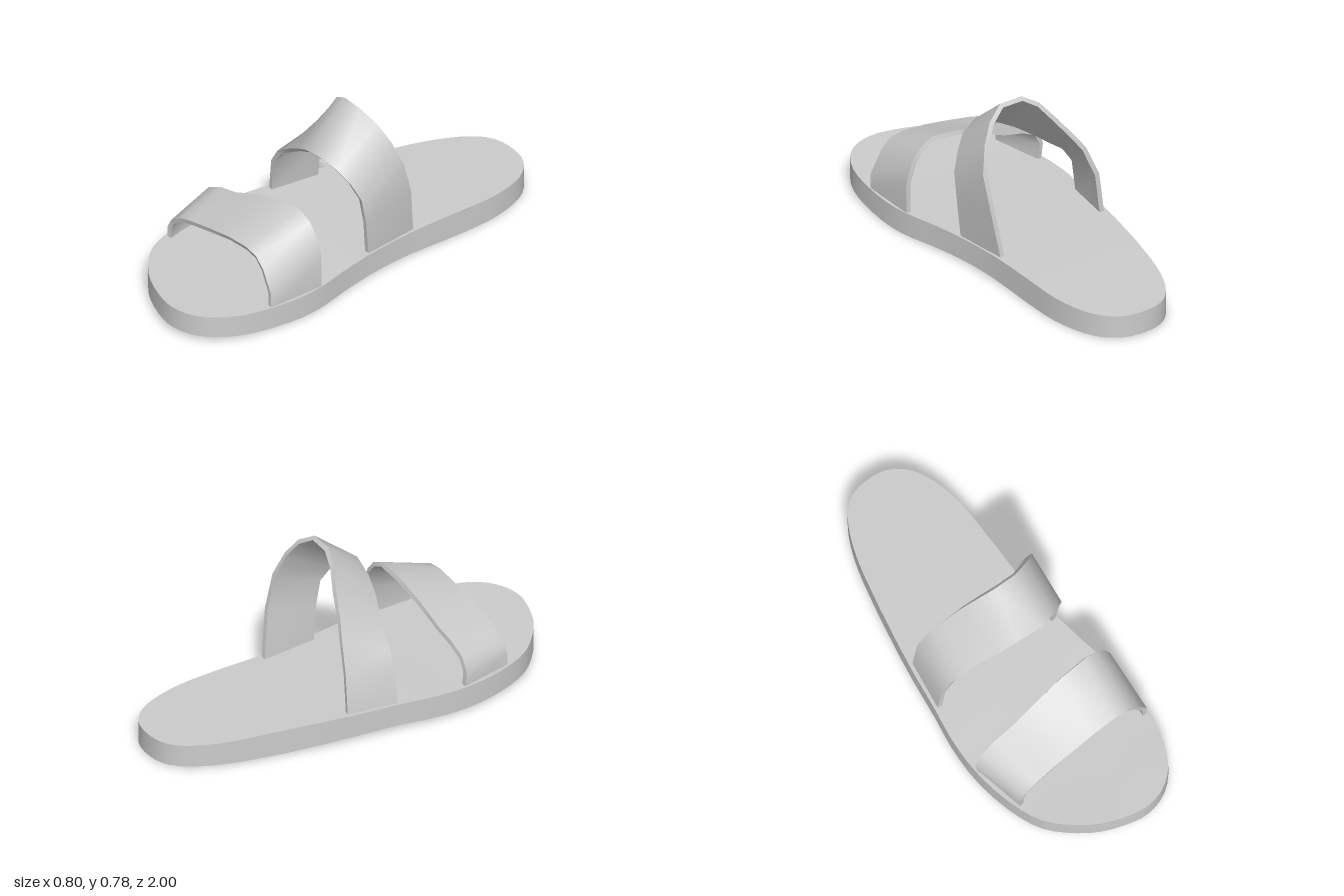
import * as THREE from 'three';
import { toCreasedNormals } from 'three/addons/utils/BufferGeometryUtils.js';

const V = (x, y, z) => new THREE.Vector3(x, y, z);

// Skin a series of closed rings of points, keeping sharp edges sharp
function loft(name, rings, crease) {
  const n = rings[0].length, index = [];
  for (let i = 0; i < rings.length - 1; i++) {
    for (let j = 0; j < n; j++) {
      const k = (j + 1) % n;
      const a = i * n + j, b = a + n, c = i * n + k, d = c + n;
      index.push(a, b, c, b, d, c);
    }
  }
  const geo = new THREE.BufferGeometry().setFromPoints(rings.flat());
  geo.setIndex(index);
  const material = new THREE.MeshStandardMaterial({ color: 0xcccccc, side: THREE.DoubleSide });
  const mesh = new THREE.Mesh(toCreasedNormals(geo, crease), material);
  mesh.name = name;
  return mesh;
}

// Smooth interpolation through [z, y] pairs
function profile(points, z) {
  let i = 0;
  while (i < points.length - 2 && z > points[i + 1][0]) i++;
  const [z0, y0] = points[i], [z1, y1] = points[i + 1];
  return y0 + (y1 - y0) * THREE.MathUtils.smoothstep(z, z0, z1);
}

// Sole: foot outline, gently waved along its length and tilted sideways
function makeSole() {
  const outline = [
    [0.08, -1], [0.2, -0.98], [0.28, -0.91], [0.325, -0.81], [0.35, -0.66], [0.347, -0.48],
    [0.335, -0.2], [0.343, 0], [0.365, 0.2], [0.39, 0.36], [0.395, 0.48], [0.38, 0.64],
    [0.345, 0.8], [0.275, 0.92], [0.19, 0.98], [0.09, 1], [-0.01, 0.98], [-0.13, 0.93],
    [-0.235, 0.85], [-0.32, 0.75], [-0.37, 0.61], [-0.4, 0.4], [-0.39, 0.21], [-0.357, 0.04],
    [-0.312, -0.21], [-0.2, -0.66], [-0.145, -0.81], [-0.08, -0.92], [-0.01, -0.98],
  ].map(([x, z]) => V(x, 0, z));
  const rim = new THREE.CatmullRomCurve3(outline, true).getPoints(72).slice(0, -1);
  const bottom = [[-1, 0.006], [-0.55, 0.005], [0, 0.018], [0.45, 0.006], [1, 0.03]];
  const top = [[-1, 0.115], [-0.35, 0.13], [0, 0.128], [0.5, 0.118], [1, 0.135]];
  const ring = (s, heights) => rim.map((p) => {
    const x = 0.03 + (p.x - 0.03) * s, z = p.z * s;
    return V(x, profile(heights, z) - 0.015 * x, z);
  });
  const scales = [0, 0.2, 0.4, 0.6, 0.8, 1];
  const rings = [
    ...scales.map((s) => ring(s, bottom)),
    ...scales.slice().reverse().map((s) => ring(s, top)),
  ];
  return loft('sole', rings, 0.8);
}

// Strap: a band between a front edge and a rear edge, thickened inwards
function makeStrap(name, front, rear, thickness) {
  const f = front.map((p) => V(...p)), r = rear.map((p) => V(...p));
  const last = f.length - 1;
  const rings = f.map((p, i) => {
    const a = Math.max(i - 1, 0), b = Math.min(i + 1, last);
    const across = r[i].clone().sub(p);
    const inset = (edge) => {
      const tangent = edge[b].clone().sub(edge[a]);
      const normal = tangent.cross(across).normalize();
      return edge[i].clone().addScaledVector(normal, -thickness);
    };
    return [p, r[i], inset(r), inset(f)];
  });
  return loft(name, rings, 1.0);
}

export function createModel() {
  const group = new THREE.Group();
  group.name = 'sandal';
  group.add(makeSole());

  // Low strap over the toes
  group.add(makeStrap('toeStrap',
    [[-0.35, 0.1, 0.64], [-0.348, 0.18, 0.64], [-0.322, 0.228, 0.64], [-0.258, 0.27, 0.64],
      [-0.19, 0.29, 0.64], [-0.05, 0.318, 0.64], [0.07, 0.339, 0.64], [0.19, 0.348, 0.643],
      [0.264, 0.335, 0.645], [0.314, 0.288, 0.645], [0.371, 0.185, 0.648], [0.373, 0.1, 0.648]],
    [[-0.388, 0.1, 0.385], [-0.4, 0.2, 0.385], [-0.365, 0.27, 0.383], [-0.285, 0.31, 0.38],
      [-0.185, 0.333, 0.38], [-0.05, 0.39, 0.375], [0.1, 0.438, 0.37], [0.243, 0.453, 0.368],
      [0.31, 0.42, 0.366], [0.357, 0.36, 0.365], [0.389, 0.267, 0.365], [0.387, 0.1, 0.365]],
    0.022));

  // High strap over the instep
  group.add(makeStrap('instepStrap',
    [[-0.347, 0.1, 0.045], [-0.325, 0.29, 0.05], [-0.27, 0.373, 0.06], [-0.207, 0.418, 0.075],
      [-0.13, 0.475, 0.1], [-0.05, 0.528, 0.13], [0.035, 0.573, 0.152], [0.155, 0.6, 0.172],
      [0.24, 0.566, 0.148], [0.294, 0.506, 0.115], [0.337, 0.425, 0.085], [0.34, 0.29, 0.06],
      [0.333, 0.1, 0.04]],
    [[-0.302, 0.1, -0.19], [-0.275, 0.33, -0.185], [-0.217, 0.474, -0.165], [-0.168, 0.545, -0.14],
      [-0.09, 0.645, -0.11], [-0.02, 0.732, -0.075], [0.06, 0.78, -0.05], [0.177, 0.78, -0.045],
      [0.26, 0.725, -0.075], [0.316, 0.64, -0.11], [0.356, 0.52, -0.15], [0.35, 0.36, -0.195],
      [0.318, 0.1, -0.235]],
    0.022));
  return group;
}
